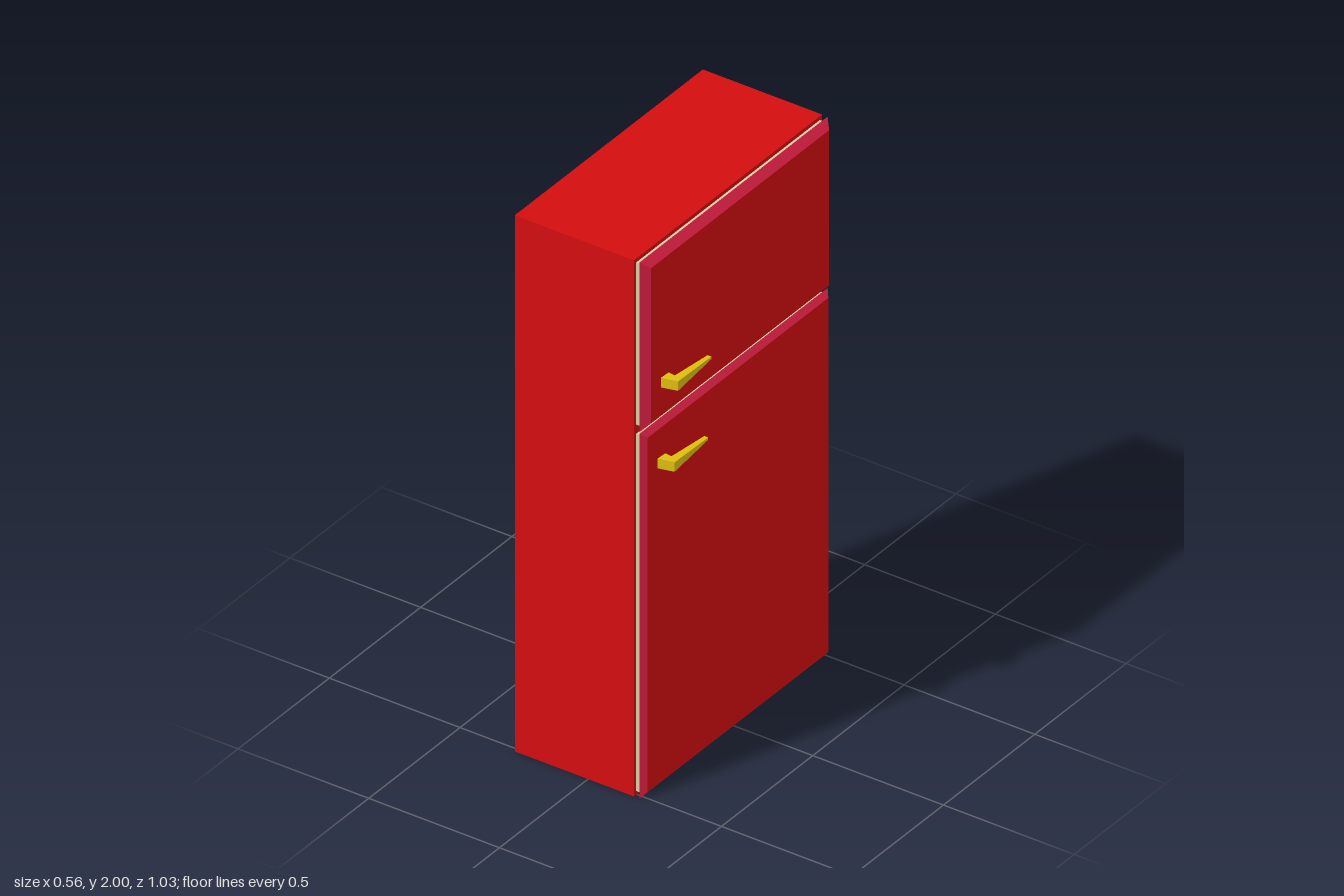
import * as THREE from 'three';

const paint = (color) => new THREE.MeshStandardMaterial({ color, flatShading: true });

// Box given by its minimum and maximum corners
function boxBetween([x0, y0, z0], [x1, y1, z1]) {
  const g = new THREE.BoxGeometry(x1 - x0, y1 - y0, z1 - z0);
  return g.translate((x0 + x1) / 2, (y0 + y1) / 2, (z0 + z1) / 2);
}

// Door panel facing +x, its outer face inset on all four edges
function doorGeometry(x0, x1, y0, y1, halfZ, inset) {
  const g = boxBetween([x0, y0, -halfZ], [x1, y1, halfZ]);
  const p = g.attributes.position;
  const midY = (y0 + y1) / 2;
  for (let i = 0; i < p.count; i++) {
    if (p.getX(i) < (x0 + x1) / 2) continue;
    p.setY(i, p.getY(i) - Math.sign(p.getY(i) - midY) * inset);
    p.setZ(i, p.getZ(i) - Math.sign(p.getZ(i)) * inset);
  }
  g.computeVertexNormals();
  return g;
}

// L-shaped lever: plan outline in (x, z), its height tapering toward the tip
function handleGeometry() {
  const outline = [
    [-0.005, 0.39], [0.026, 0.395], [0.033, 0.225],
    [0.048, 0.225], [0.056, 0.42], [-0.005, 0.435],
  ].map(([x, z]) => new THREE.Vector2(x, z));
  const g = new THREE.ExtrudeGeometry(new THREE.Shape(outline), { depth: 0.036, bevelEnabled: false });
  g.translate(0, 0, -0.018).rotateX(Math.PI / 2);
  const p = g.attributes.position;
  for (let i = 0; i < p.count; i++) {
    const t = THREE.MathUtils.clamp((p.getZ(i) - 0.225) / 0.2, 0, 1);
    p.setY(i, p.getY(i) * (0.25 + 0.75 * t));
  }
  g.computeVertexNormals();
  return g;
}

export function createModel() {
  const model = new THREE.Group();
  model.name = 'refrigerator';
  const red = paint(0xd40d10);
  const crimson = paint(0xd81f42);
  const beige = paint(0xd8cfa0);
  const gold = paint(0xe0c010);

  const add = (parent, name, geometry, material) => {
    const mesh = new THREE.Mesh(geometry, material);
    mesh.name = name;
    parent.add(mesh);
    return mesh;
  };

  // Cabinet
  add(model, 'cabinet', boxBetween([-0.28, 0, -0.515], [0.176, 2, 0.515]), red);

  // Doors, each with a seal behind it and a lever handle
  const doors = [
    { name: 'freezerDoor', y0: 1.367, y1: 2, face: 0.222, inset: 0.027, handleY: 1.518, handleZ: 0 },
    { name: 'mainDoor', y0: 0, y1: 1.361, face: 0.214, inset: 0.02, handleY: 1.217, handleZ: 0.007 },
  ];
  for (const d of doors) {
    const door = new THREE.Group();
    door.name = d.name;
    model.add(door);
    add(door, 'seal', boxBetween([0.176, d.y0 + 0.014, -0.503], [0.198, d.y1 - 0.014, 0.503]), beige);
    add(door, 'panel', doorGeometry(0.197, d.face, d.y0, d.y1, 0.515, d.inset),
      [red, crimson, crimson, crimson, crimson, crimson]);
    add(door, 'handle', handleGeometry(), gold).position.set(d.face, d.handleY, d.handleZ);
  }
  return model;
}
